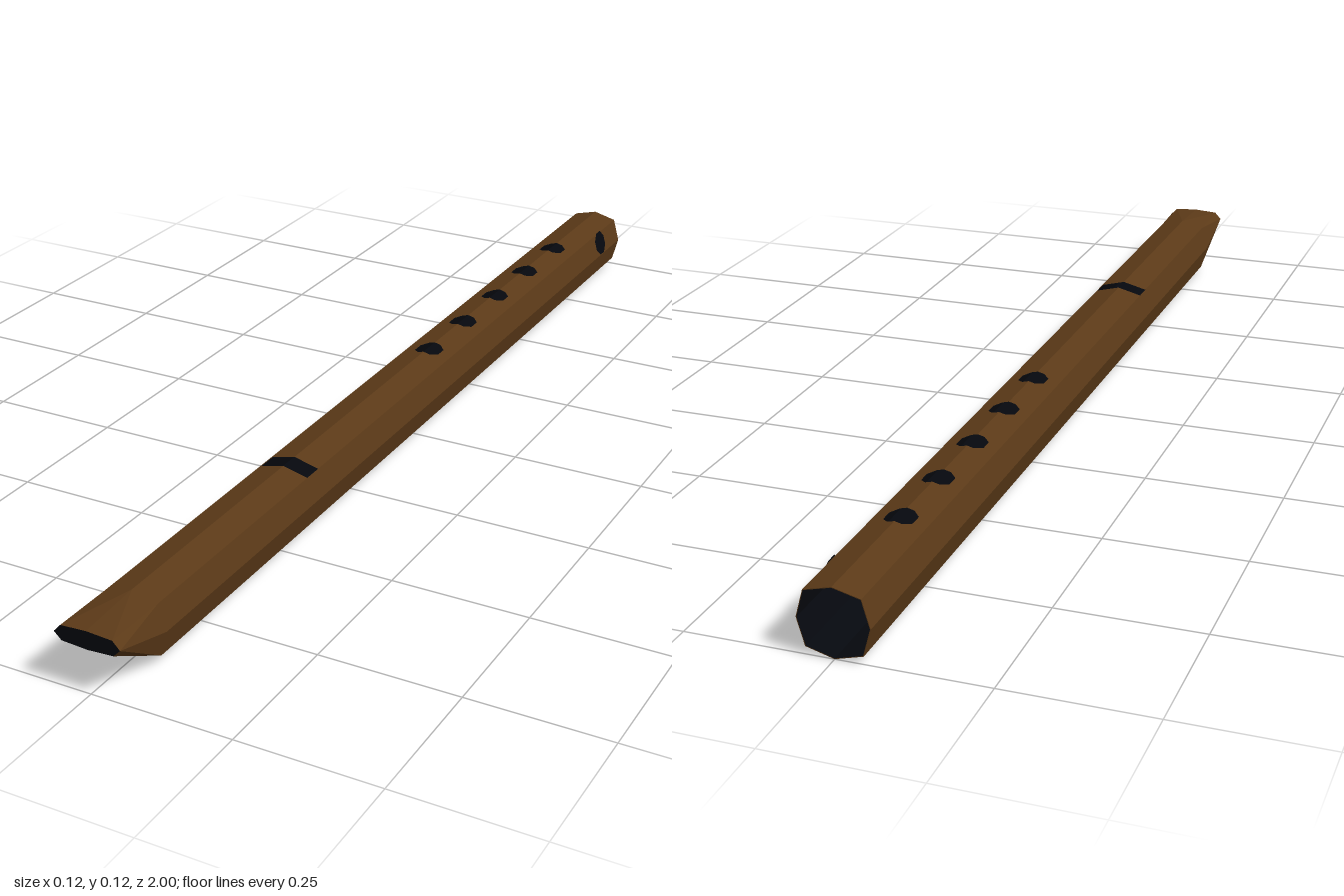
import * as THREE from 'three';
import { mergeGeometries } from 'three/addons/utils/BufferGeometryUtils.js';

// Half cross-sections from the top ridge down to the bottom ridge: [x, y]
const BODY = [[0, 0.119], [0.047, 0.107], [0.06, 0.06], [0.047, 0.013], [0, 0]];
const MOUTH = [[0, 0.112], [0.047, 0.109], [0.06, 0.095], [0.047, 0.082], [0, 0.079]];
const BODY_MID = 0.0595, MOUTH_MID = 0.0955;
const BACK = -1, BEVEL = 0.88, FRONT = 1;
const SLOT = [0.386, 0.424];
const FINGER_HOLES = [-0.748, -0.596, -0.444, -0.291, -0.138];
const HOLE_RADIUS = 0.025;
const BORE_SCALE = 0.98;
const { lerp } = THREE.MathUtils;

const strip = (z0, z1) => [[0, z0], [1, z0], [1, z1], [0, z1]];
const toShape = pts => new THREE.Shape(pts.map(p => new THREE.Vector2(...p)));

// The two triangles of a bevelled tip panel, split so that the tip stays convex
const tip = i => i < 2
  ? [[[0, BEVEL], [1, BEVEL], [1, FRONT]], [[0, BEVEL], [1, FRONT], [0, FRONT]]]
  : [[[0, BEVEL], [1, BEVEL], [0, FRONT]], [[1, BEVEL], [1, FRONT], [0, FRONT]]];

// Bend a flat (s, z) outline onto side panel i; s runs across it, m mirrors, scale insets
function panel(outline, i, m, scale) {
  const geo = new THREE.ShapeGeometry(toShape(outline));
  const pos = geo.attributes.position;
  for (let k = 0; k < pos.count; k++) {
    const s = pos.getX(k), z = pos.getY(k);
    const f = Math.max(0, (z - BEVEL) / (FRONT - BEVEL));
    const at = c => lerp(lerp(BODY[i][c], BODY[i + 1][c], s), lerp(MOUTH[i][c], MOUTH[i + 1][c], s), f);
    const mid = lerp(BODY_MID, MOUTH_MID, f);
    pos.setXYZ(k, m * at(0) * scale, mid + (at(1) - mid) * scale, z);
  }
  if (m > 0) geo.index.array.reverse();
  return geo;
}

// Half of the top face behind the slot, with half an octagon cut out per finger hole
function fingerStrip() {
  const r = HOLE_RADIUS, w = r / BODY[1][0];
  const pts = [[0, BACK], [1, BACK], [1, SLOT[0]], [0, SLOT[0]]];
  for (const z of [...FINGER_HOLES].reverse()) {
    pts.push([0, z + r], [w * 0.5, z + r], [w, z + r * 0.5],
      [w, z - r * 0.5], [w * 0.5, z - r], [0, z - r]);
  }
  return pts;
}

// Eight-sided tube with holes, slot and bevelled mouth end
function tube(scale) {
  const parts = [];
  for (const m of [1, -1]) {
    for (let i = 0; i < 4; i++) {
      const outlines = i === 0 ? [fingerStrip(), strip(SLOT[1], BEVEL)] : [strip(BACK, BEVEL)];
      for (const o of [...outlines, ...tip(i)]) parts.push(panel(o, i, m, scale));
    }
  }
  return mergeGeometries(parts);
}

// Separate the corners for flat shading
function facet(geo) {
  const flat = geo.toNonIndexed();
  flat.computeVertexNormals();
  return flat;
}

// Full octagon outline of a half cross-section
const ring = half => [...half, ...half.slice(1, 4).reverse().map(([x, y]) => [-x, y])];

export function createModel() {
  const group = new THREE.Group();
  const paint = color => new THREE.MeshStandardMaterial({ color, flatShading: true, side: THREE.DoubleSide });
  const wood = paint(0x5c3a18), dark = paint(0x06090f);
  const add = (name, geo, mat) => {
    const mesh = new THREE.Mesh(geo, mat);
    mesh.name = name;
    group.add(mesh);
    return mesh;
  };

  add('fluteBody', facet(tube(1)), wood);

  // Dark lining just inside the wall, facing inwards
  const lining = tube(BORE_SCALE);
  lining.index.array.reverse();
  add('bore', facet(lining), dark);

  // Thin wooden rim joining wall and lining at the open end
  const rim = toShape(ring(BODY));
  rim.holes.push(toShape(ring(BODY).map(([x, y]) =>
    [x * BORE_SCALE, BODY_MID + (y - BODY_MID) * BORE_SCALE])));
  const rimGeo = new THREE.ShapeGeometry(rim);
  rimGeo.rotateY(Math.PI);
  add('backRim', rimGeo, wood).position.z = BACK;

  // Dark face closing the mouth end
  add('mouthOpening', new THREE.ShapeGeometry(toShape(ring(MOUTH))), dark).position.z = FRONT;

  // Thumb hole: a dark disc lying on the upper left panel, just breaking its top corner
  const [[x0, y0], [x1, y1]] = BODY.slice(1, 3);
  const disc = new THREE.CircleGeometry(0.027, 8, Math.PI / 8);
  disc.rotateY(Math.PI / 2).rotateZ(Math.atan2(x1 - x0, y0 - y1));
  add('thumbHole', disc, dark).position.set(lerp(x0, x1, 0.45) + 0.001, lerp(y0, y1, 0.45), -0.9);

  return group;
}
